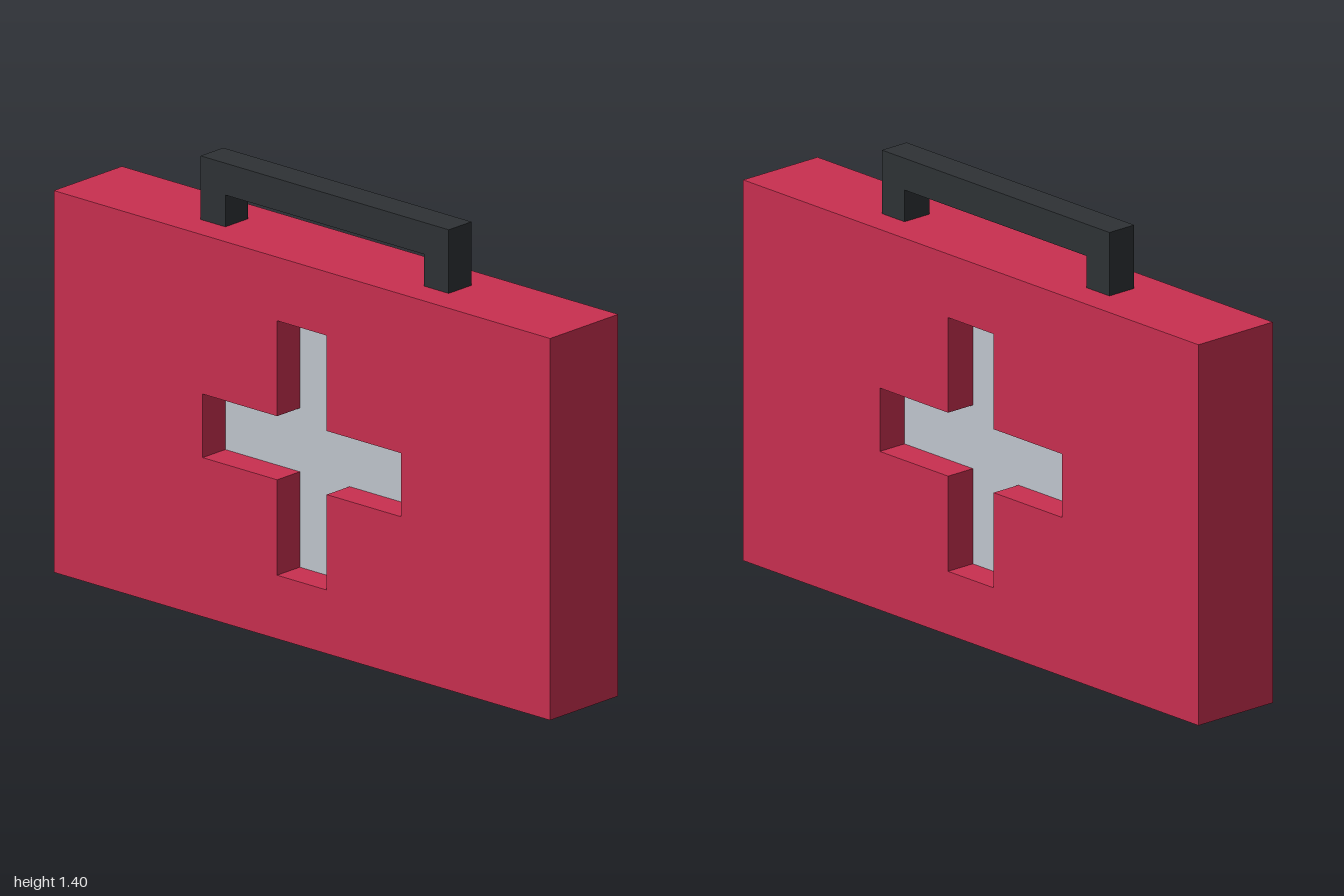
import * as THREE from 'three';

const polygon = (points, Type = THREE.Shape) =>
  new Type(points.map(([x, y]) => new THREE.Vector2(x, y)));

// Flat-sided slab of the given depth, centred on z = 0
function slab(name, shape, depth, color) {
  const geometry = new THREE.ExtrudeGeometry(shape, { depth, bevelEnabled: false });
  geometry.translate(0, 0, -depth / 2);
  const mesh = new THREE.Mesh(geometry, new THREE.MeshStandardMaterial({ color, flatShading: true }));
  mesh.name = name;
  return mesh;
}

export function createModel() {
  const group = new THREE.Group();
  group.name = 'firstAidCase';

  // Cross outline: arm half-width w, arm reach r, centred at height c
  const w = 0.1, r = 0.4, c = 0.6;
  const cross = [
    [w, r], [-w, r], [-w, w], [-r, w], [-r, -w], [-w, -w],
    [-w, -r], [w, -r], [w, -w], [r, -w], [r, w], [w, w],
  ].map(([x, y]) => [x, y + c]);

  // Case body with a cross-shaped opening right through
  const body = polygon([[-1, 0], [1, 0], [1, 1.2], [-1, 1.2]]);
  body.holes.push(polygon(cross, THREE.Path));
  group.add(slab('caseBody', body, 0.3, 0xc92f50));

  // Cross panel, recessed from both faces
  group.add(slab('crossPanel', polygon(cross), 0.1, 0xc0c6ce));

  // Squared carrying handle
  const handle = polygon([
    [-0.5, 1.2], [-0.4, 1.2], [-0.4, 1.3], [0.4, 1.3],
    [0.4, 1.2], [0.5, 1.2], [0.5, 1.4], [-0.5, 1.4],
  ]);
  group.add(slab('handle', handle, 0.1, 0x2e3235));

  return group;
}
